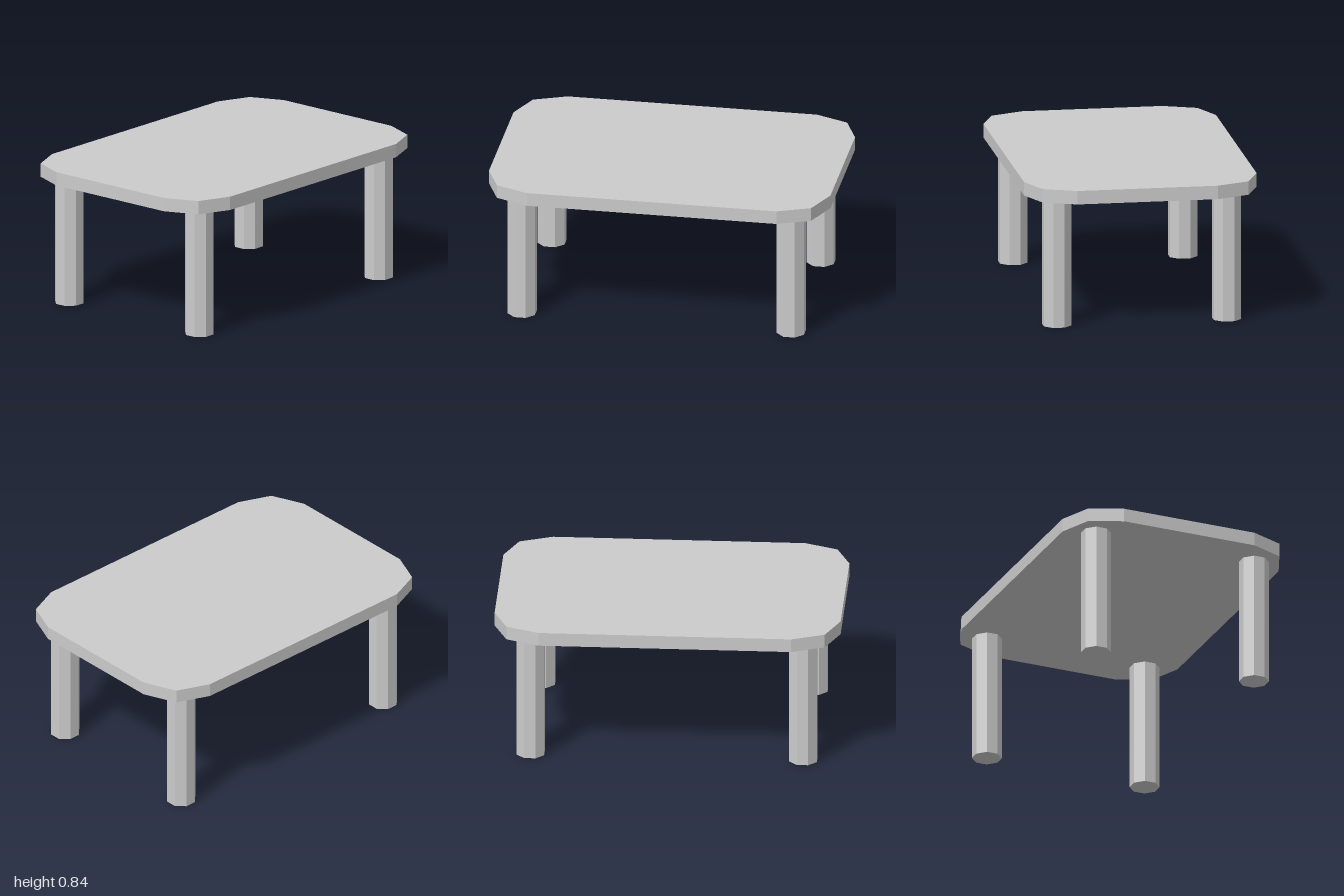
import * as THREE from 'three';

export function createModel() {
  const group = new THREE.Group();
  group.name = 'table';
  const material = new THREE.MeshStandardMaterial({ color: 0xcccccc, flatShading: true });
  const topY = 0.84, undersideY = 0.76;

  // Table top: one corner's outline mirrored into all four quadrants
  const corner = [[1, 0.41], [0.92, 0.602], [0.73, 0.68]];
  const outline = [];
  for (const [sx, sy] of [[1, 1], [-1, 1], [-1, -1], [1, -1]]) {
    const points = corner.map(([x, y]) => new THREE.Vector2(x * sx, y * sy));
    outline.push(...(sx * sy > 0 ? points : points.reverse()));
  }
  const topGeometry = new THREE.ExtrudeGeometry(new THREE.Shape(outline), {
    depth: topY - undersideY, bevelEnabled: false,
  });
  topGeometry.rotateX(-Math.PI / 2);
  const tableTop = new THREE.Mesh(topGeometry, material);
  tableTop.name = 'tableTop';
  tableTop.position.y = undersideY;
  group.add(tableTop);

  // Octagonal legs, flat sides facing the axes
  const legRadius = 0.08 / Math.cos(Math.PI / 8);
  const legGeometry = new THREE.CylinderGeometry(legRadius, legRadius, undersideY, 8);
  legGeometry.rotateY(Math.PI / 8);
  for (const [zName, z] of [['front', 0.498], ['back', -0.495]]) {
    for (const [xName, x] of [['Left', 0.786], ['Right', -0.79]]) {
      const leg = new THREE.Mesh(legGeometry, material);
      leg.name = `${zName}${xName}Leg`;
      leg.position.set(x, undersideY / 2, z);
      group.add(leg);
    }
  }
  return group;
}
